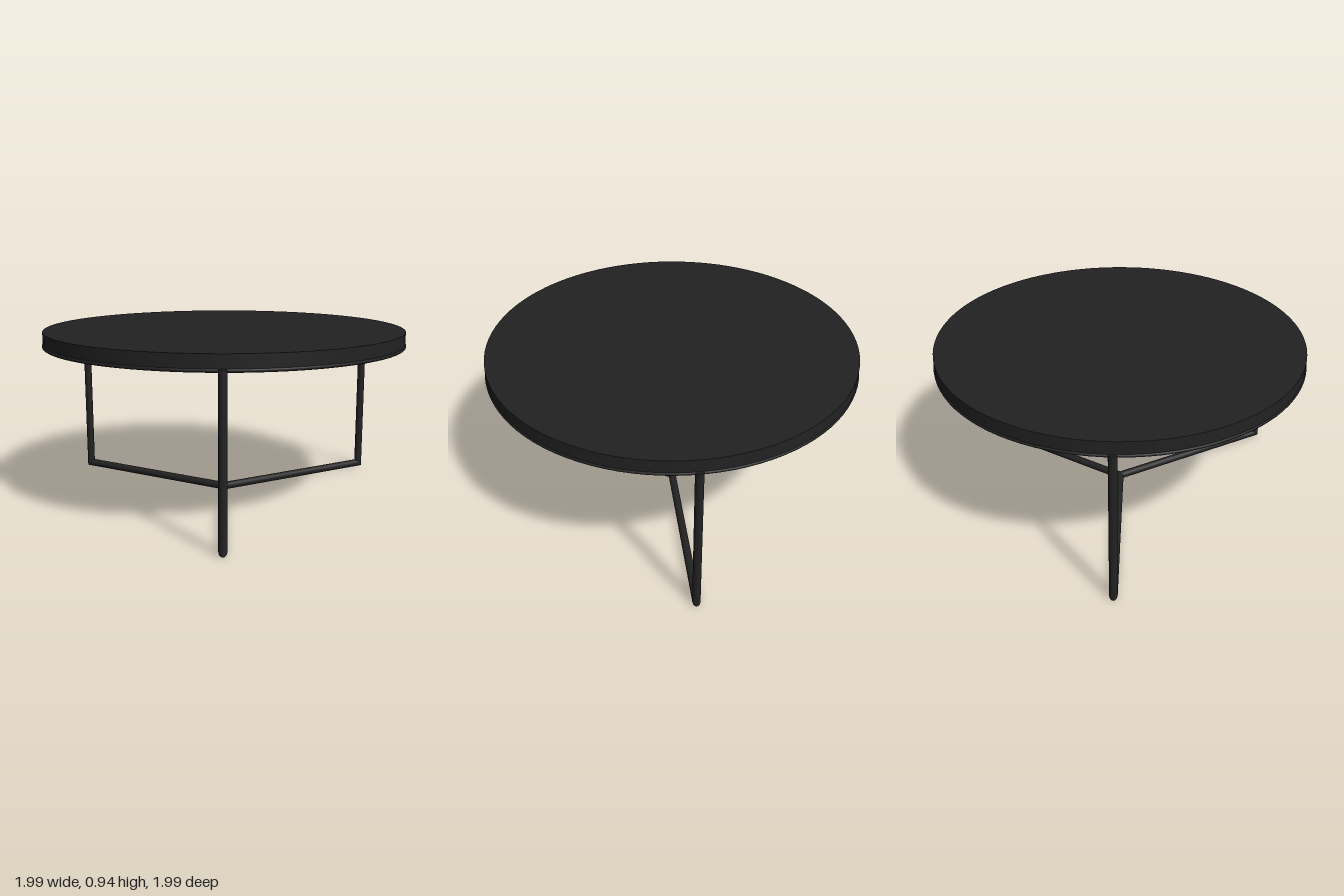
import * as THREE from 'three';

export function createModel() {
  const table = new THREE.Group();
  table.name = 'roundTable';
  const black = new THREE.MeshStandardMaterial({ color: 0x222222 });
  black.name = 'matte black';

  const add = (parent, name, geometry) => {
    const mesh = new THREE.Mesh(geometry, black);
    mesh.name = name;
    parent.add(mesh);
    return mesh;
  };

  // Round top slab
  const topY = 0.945, slabBottom = 0.866;
  add(table, 'tableTop', new THREE.CylinderGeometry(0.991, 0.991, topY - slabBottom, 96))
    .position.y = (topY + slabBottom) / 2;

  // Slim rounded lip under the slab
  const lip = add(table, 'rimRing', new THREE.TorusGeometry(0.987, 0.0095, 10, 96));
  lip.rotation.x = Math.PI / 2;
  lip.position.y = 0.869;

  // Tubular frame: three L-shaped legs meeting at the centre
  const r = 0.0215, reach = 0.987, legTop = 0.875;

  // Upright tube, its foot cut at 45 degrees
  const uprightGeometry = () => {
    const g = new THREE.CylinderGeometry(r, r, legTop - r, 20);
    g.translate(reach, (legTop + r) / 2, 0);
    const p = g.attributes.position;
    for (let i = 0; i < p.count; i++) {
      if (p.getY(i) < 0.1) p.setY(i, r - (p.getX(i) - reach));
    }
    return g;
  };

  // Floor bar from the centre, its outer end cut to match
  const barGeometry = () => {
    const g = new THREE.CylinderGeometry(r, r, reach, 20);
    g.rotateZ(-Math.PI / 2);
    g.translate(reach / 2, r, 0);
    const p = g.attributes.position;
    for (let i = 0; i < p.count; i++) {
      if (p.getX(i) > 0.5) p.setX(i, reach - (p.getY(i) - r));
    }
    return g;
  };

  const upright = uprightGeometry();
  const bar = barGeometry();
  for (let i = 0; i < 3; i++) {
    const leg = new THREE.Group();
    leg.name = 'leg' + (i + 1);
    add(leg, 'upright', upright);
    add(leg, 'floorBar', bar);
    leg.rotation.y = THREE.MathUtils.degToRad(-50.2 + i * 120);
    table.add(leg);
  }

  // Joint where the floor bars meet
  add(table, 'centreJoint', new THREE.SphereGeometry(r, 16, 12)).position.y = r;

  return table;
}
